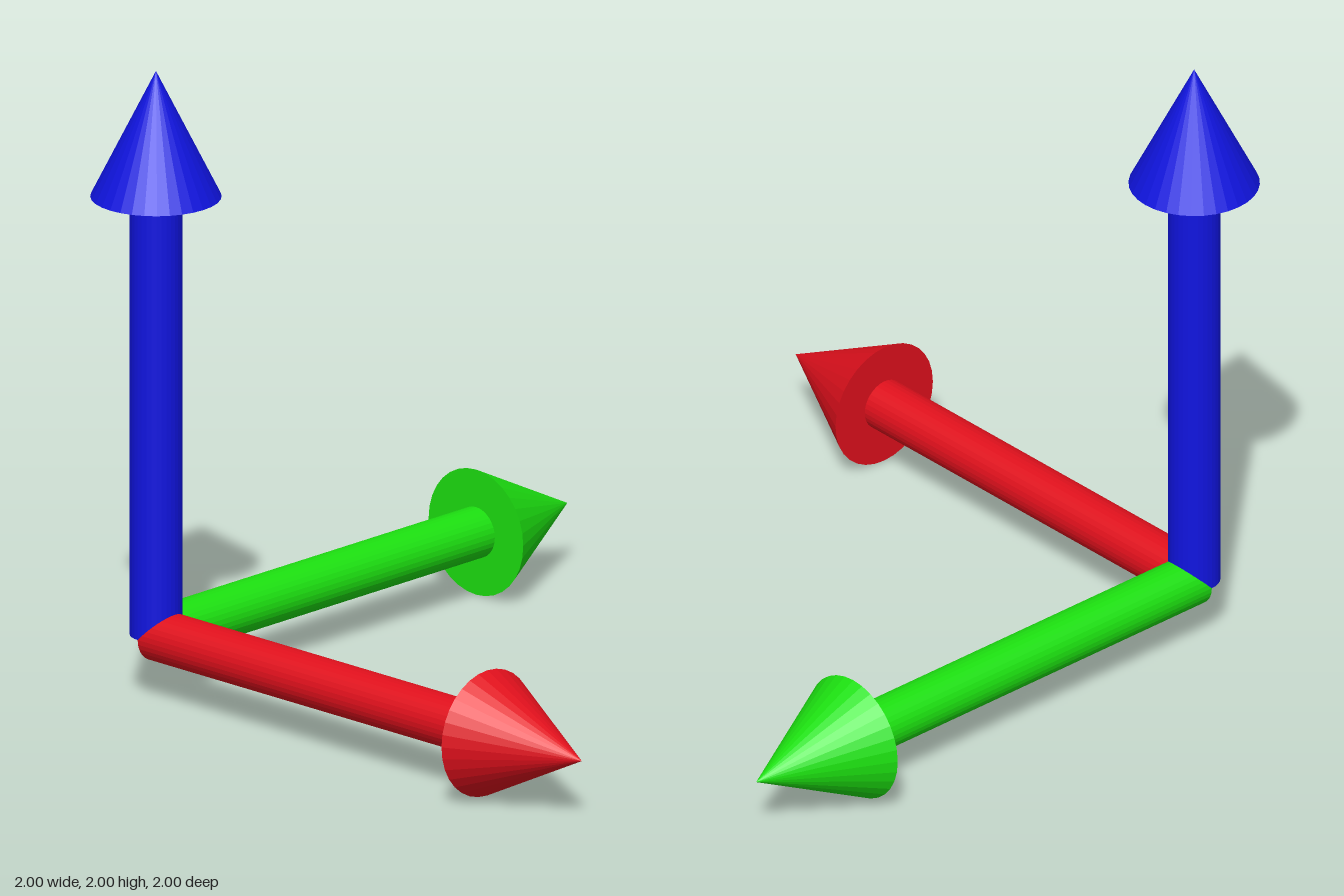
import * as THREE from 'three';

const SIDES = 32;
const SHAFT_LENGTH = 1.4, SHAFT_RADIUS = 0.08;
const HEAD_LENGTH = 0.4, HEAD_RADIUS = 0.2;

// One arrow pointing along +y from its own origin
function createArrow(name, color) {
  const material = new THREE.MeshStandardMaterial({ color, flatShading: true });
  const arrow = new THREE.Group();
  arrow.name = name;

  const shaft = new THREE.Mesh(
    new THREE.CylinderGeometry(SHAFT_RADIUS, SHAFT_RADIUS, SHAFT_LENGTH, SIDES), material);
  shaft.name = name + 'Shaft';
  shaft.position.y = SHAFT_LENGTH / 2;

  const head = new THREE.Mesh(
    new THREE.ConeGeometry(HEAD_RADIUS, HEAD_LENGTH, SIDES), material);
  head.name = name + 'Head';
  head.position.y = SHAFT_LENGTH + HEAD_LENGTH / 2;

  arrow.add(shaft, head);
  return arrow;
}

export function createModel() {
  const model = new THREE.Group();
  model.name = 'axisArrows';

  // Three perpendicular arrows sharing one corner
  const up = createArrow('upArrow', 0x1014e0);
  const side = createArrow('sideArrow', 0xe0101c);
  side.rotation.z = -Math.PI / 2;
  const back = createArrow('backArrow', 0x1ce010);
  back.rotation.x = -Math.PI / 2;

  for (const arrow of [up, side, back]) {
    arrow.position.set(-0.8, 0.2, 0.8);
    model.add(arrow);
  }
  return model;
}
